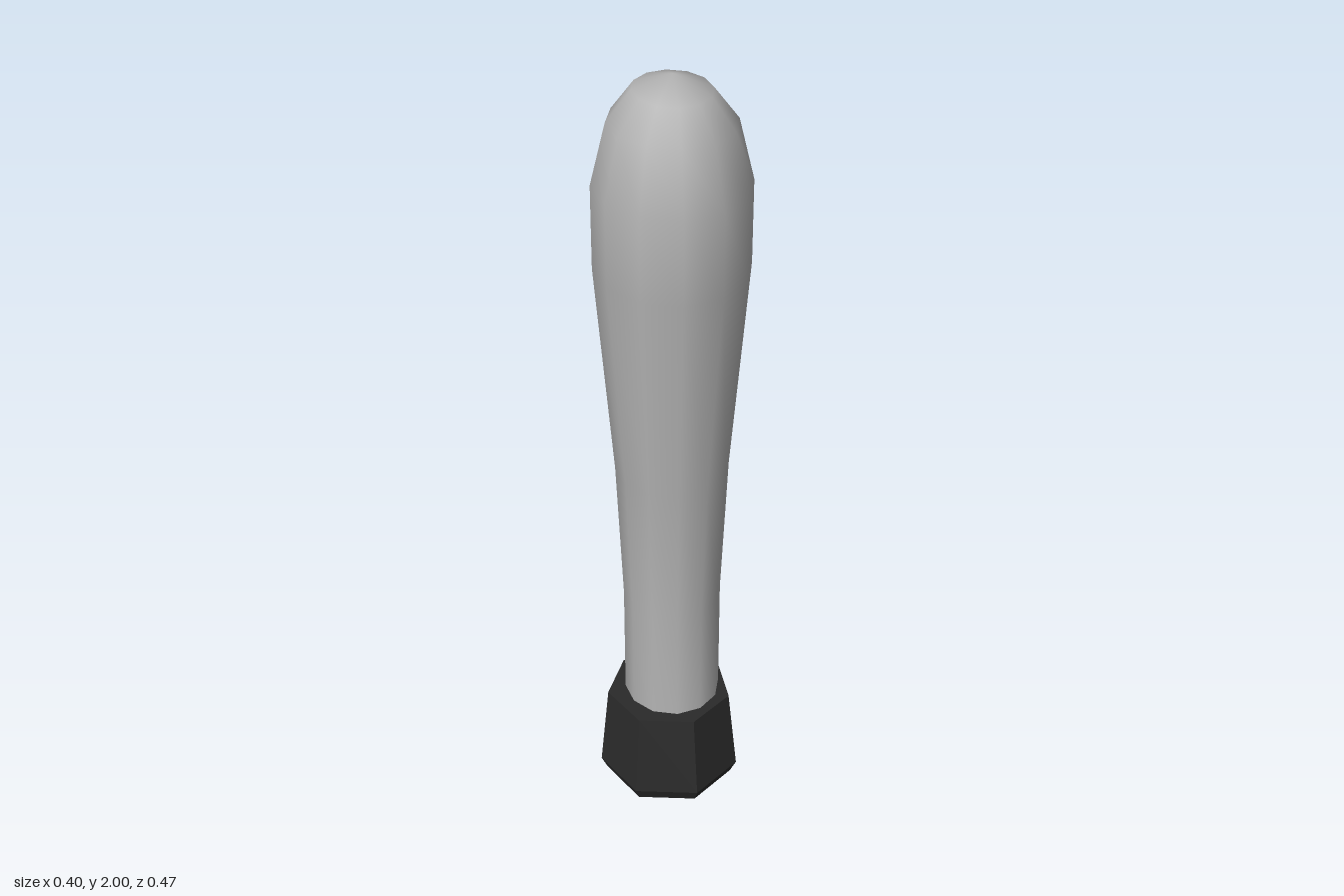
import * as THREE from 'three';
import { mergeVertices } from 'three/addons/utils/BufferGeometryUtils.js';

// Lathe whose rings are reshaped one by one: adjust(position, vertexIndex, ringIndex)
function ringLathe(rings, sides, start, adjust) {
  const points = rings.map(([r, y]) => new THREE.Vector2(r, y));
  const geometry = new THREE.LatheGeometry(points, sides, start);
  const pos = geometry.attributes.position;
  for (let i = 0; i < pos.count; i++) adjust(pos, i, i % rings.length);
  geometry.deleteAttribute('normal');
  geometry.deleteAttribute('uv');
  return geometry;
}

export function createModel() {
  const group = new THREE.Group();
  const grey = new THREE.MeshStandardMaterial({ color: 0xb4b4b4 });
  grey.name = 'light grey';
  const black = new THREE.MeshStandardMaterial({ color: 0x2a2a2a });
  black.name = 'black';

  // Smooth shaft with an oval section: [half width, height, half depth]
  const shaft = [
    [0.13, 0.2, 0.14], [0.13, 0.58, 0.135], [0.147, 0.97, 0.16],
    [0.193, 1.53, 0.236], [0.193, 1.74, 0.236], [0.155, 1.89, 0.197],
    [0.095, 1.965, 0.137], [0, 2, 0],
  ];
  const body = mergeVertices(ringLathe(shaft, 12, 0, (pos, i, ring) => {
    const [width, , depth] = shaft[ring];
    if (width > 0) pos.setZ(i, pos.getZ(i) * depth / width);
  }), 1e-4);
  body.computeVertexNormals();
  const bodyMesh = new THREE.Mesh(body, grey);
  bodyMesh.name = 'shaft';
  group.add(bodyMesh);

  // Faceted seven-sided end cap, leaning forward: [radius, height, z offset]
  const cap = [
    [0, 0.005, 0.025], [0.178, 0.005, 0.025], [0.195, 0.035, 0.025],
    [0.171, 0.26, 0.014], [0, 0.26, 0.014],
  ];
  cap[0][1] = cap[1][1] = 0;
  const base = ringLathe(cap, 7, THREE.MathUtils.degToRad(17), (pos, i, ring) => {
    pos.setX(i, pos.getX(i) - 0.01);
    pos.setZ(i, pos.getZ(i) + cap[ring][2]);
  }).toNonIndexed();
  base.computeVertexNormals();
  const baseMesh = new THREE.Mesh(base, black);
  baseMesh.name = 'endCap';
  group.add(baseMesh);

  return group;
}
